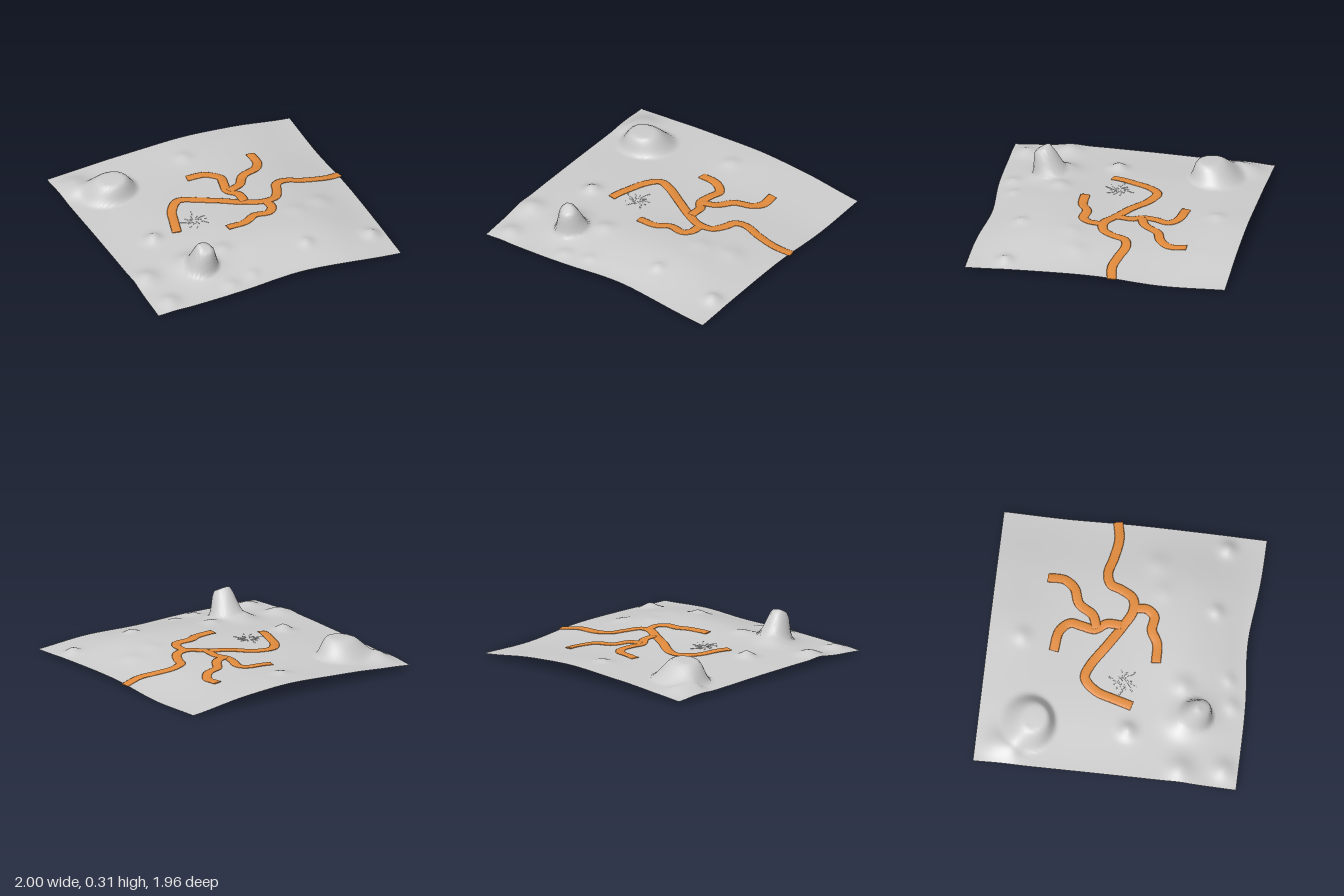
import * as THREE from 'three';

const clamp = THREE.MathUtils.clamp;
const smooth = THREE.MathUtils.smoothstep;

// Broad swell of the land: rows run back to front, columns -x to +x, 0.5 apart
const SWELL = [
  [0.03, 0.07, 0.088, 0.075, 0.015],
  [0.04, 0.075, 0.08, 0.065, 0.002],
  [0.05, 0.088, 0.1, 0.095, 0.035],
  [0.05, 0.08, 0.124, 0.118, 0.03],
  [0.015, 0.03, 0.042, 0.045, 0.012],
];

// Small knolls: x, z, radius, height
const KNOLLS = [
  [0, -0.73, 0.06, 0.02], [-0.65, 0.13, 0.06, 0.045], [-0.26, 0.5, 0.07, 0.025],
  [0.35, 0.68, 0.05, 0.025], [0.87, 0.7, 0.06, 0.04], [0.68, 0.2, 0.08, 0.015],
  [0.45, 0.27, 0.07, 0.01], [-0.9, 0.55, 0.09, 0.04], [-0.86, 0.87, 0.08, 0.035],
  [-0.16, 0.84, 0.05, 0.015], [-0.36, 0.88, 0.06, 0.02], [-0.55, 0.52, 0.1, 0.04],
  [-0.86, -0.8, 0.11, 0.045], [0.1, -0.82, 0.25, 0.015],
];

// Cubic interpolation through a row of five values
function cubic(values, t) {
  const f = clamp((t + 1) * 2, 0, 3.9999), i = Math.floor(f), u = f - i;
  const at = (k) => values[clamp(k, 0, 4)];
  const [a, b, c, d] = [at(i - 1), at(i), at(i + 1), at(i + 2)];
  return b + 0.5 * u * (c - a + u * (2 * a - 5 * b + 4 * c - d + u * (3 * (b - c) + d - a)));
}

// Rounded dome with a ridge running off its back corner
function dome(x, z) {
  const r = Math.hypot((x + 0.67) / 0.235, (z + 0.605) / 0.215);
  const ridge = 0.035 * Math.exp(-(((x + 0.88) / 0.08) ** 2) - ((z + 0.7) / 0.07) ** 2);
  const cap = 0.02 * Math.max(0, 1 - r * r);
  return 0.122 * (1 - smooth(r, 0.4, 1)) + cap + ridge;
}

// Upright outcrop, lower towards its front
function outcrop(x, z) {
  const r = Math.hypot(x + 0.475, z - 0.615);
  const skirt = 0.05 * Math.exp(-((r / 0.14) ** 2));
  return skirt + (0.157 - 0.2 * (z - 0.615)) * (1 - smooth(r, 0.055, 0.13));
}

function groundHeight(x, z) {
  let y = cubic(SWELL.map((row) => cubic(row, x)), z);
  for (const [kx, kz, r, h] of KNOLLS) {
    y += h * Math.exp(-((x - kx) ** 2 + (z - kz) ** 2) / (r * r));
  }
  return y + dome(x, z) + outcrop(x, z);
}

function makeGround(material) {
  const geo = new THREE.PlaneGeometry(1.98, 1.96, 90, 90);
  geo.rotateX(-Math.PI / 2);
  geo.translate(-0.01, 0, 0);
  const p = geo.attributes.position;
  for (let i = 0; i < p.count; i++) {
    const x = p.getX(i), z = p.getZ(i);
    // dome and outcrop lean forward and the front edge curves inward
    const lean = 0.3 * outcrop(x, z) + 0.33 * dome(x, z);
    const inset = 0.045 * Math.exp(-(((x - 0.15) / 0.35) ** 2)) * smooth(z, 0.75, 0.98);
    p.setXYZ(i, x, groundHeight(x, z), z + lean - inset);
  }
  geo.computeVertexNormals();
  const mesh = new THREE.Mesh(geo, material);
  mesh.name = 'ground';
  return mesh;
}

// Flat oval band draped over the ground along [x, z] points, rising and sinking slightly
function makeBand(name, points, halfWidth, halfHeight, lift, steps, material) {
  const curve = new THREE.CatmullRomCurve3(points.map(([x, z]) => new THREE.Vector3(x, 0, z)));
  const sides = 10, pos = [], idx = [];
  for (let i = 0; i <= steps; i++) {
    const c = curve.getPointAt(i / steps), t = curve.getTangentAt(i / steps);
    const wave = lift + 0.003 * Math.sin(i * 0.3);
    for (let j = 0; j < sides; j++) {
      const a = (j / sides) * Math.PI * 2, w = halfWidth * Math.cos(a);
      const x = c.x - t.z * w, z = c.z + t.x * w;
      pos.push(x, groundHeight(x, z) + wave + halfHeight * Math.sin(a), z);
      if (i < steps) {
        const k = i * sides + j, n = i * sides + ((j + 1) % sides);
        idx.push(k, n, k + sides, n, n + sides, k + sides);
      }
    }
  }
  // end caps
  for (let j = 1; j < sides - 1; j++) {
    const e = steps * sides;
    idx.push(0, j + 1, j, e, e + j, e + j + 1);
  }
  const geo = new THREE.BufferGeometry();
  geo.setAttribute('position', new THREE.Float32BufferAttribute(pos, 3));
  geo.setIndex(idx);
  geo.computeVertexNormals();
  const mesh = new THREE.Mesh(geo, material);
  mesh.name = name;
  return mesh;
}

export function createModel() {
  const model = new THREE.Group();
  model.name = 'terrain';
  const grey = new THREE.MeshStandardMaterial({ color: 0xcccccc, side: THREE.DoubleSide });
  const orange = new THREE.MeshStandardMaterial({ color: 0xe08a3c, side: THREE.DoubleSide });

  model.add(makeGround(grey));

  // Winding trail and its three branches
  const trails = {
    mainTrail: [[-0.46, 0.14], [-0.42, 0], [-0.37, -0.14], [-0.28, -0.23], [-0.18, -0.205],
      [0, -0.09], [0.15, 0], [0.28, 0.065], [0.38, 0.05], [0.44, -0.04], [0.475, -0.125],
      [0.56, -0.155], [0.7, -0.125], [0.85, -0.105], [0.99, -0.13]],
    backTrail: [[0.16, -0.01], [0.16, -0.12], [0.11, -0.2], [0.125, -0.3], [0.14, -0.39],
      [0.07, -0.46], [-0.09, -0.485]],
    backBranchTrail: [[0.12, -0.19], [0.22, -0.23], [0.3, -0.34], [0.42, -0.39],
      [0.48, -0.47], [0.48, -0.595]],
    frontTrail: [[0.3, 0.07], [0.3, 0.17], [0.25, 0.225], [0.14, 0.22], [0.04, 0.27],
      [-0.11, 0.28]],
  };
  for (const [name, points] of Object.entries(trails)) {
    model.add(makeBand(name, points, 0.036, 0.006, 0.005, points.length * 8, orange));
  }

  // Tuft of thin blades almost sunk into the ground
  const tuft = new THREE.Group();
  tuft.name = 'groundTuft';
  for (let i = 0; i < 12; i++) {
    const a = i * 0.5236, r = 0.09 + 0.03 * Math.sin(i * 2.3);
    const at = (s, bend) => [-0.28 + s * r * Math.cos(a + bend), 0.06 + s * r * Math.sin(a + bend)];
    tuft.add(makeBand('blade', [at(0.25, 0), at(0.6, 0.1), at(1, 0.25)], 0.005, 0.002, 0, 6, grey));
  }
  model.add(tuft);

  // Rest the lowest point on y = 0
  const lowest = new THREE.Box3().setFromObject(model, true).min.y;
  for (const part of model.children) part.position.y -= lowest;
  return model;
}
